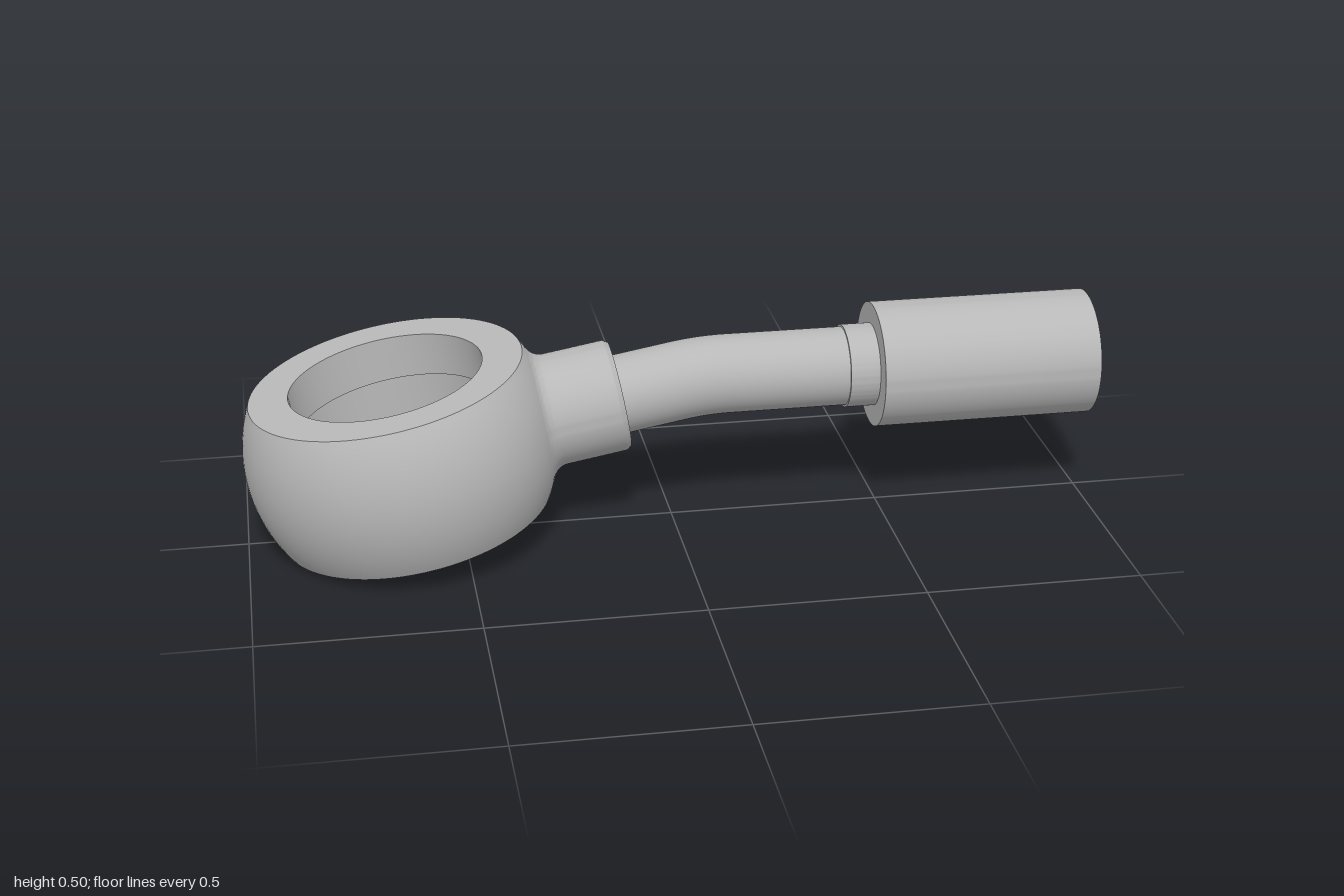
import * as THREE from 'three';
import { toCreasedNormals } from 'three/addons/utils/BufferGeometryUtils.js';

const TILT = THREE.MathUtils.degToRad(10);
const RING = new THREE.Vector3(-0.635, 0.228, 0); // centre of the eye
const AXIS_Y = 0.353;                             // height of the straight tube
const R = 0.365, HALF = 0.175, BORE = 0.227;      // eye: sphere radius, half height, bore

// Points along an arc, as [radius, height] pairs
function arc(cx, cy, r, from, to, n) {
  return Array.from({ length: n + 1 }, (_, i) => {
    const a = from + (to - from) * i / n;
    return [cx + r * Math.cos(a), cy + r * Math.sin(a)];
  });
}

export function createModel() {
  const group = new THREE.Group();
  const steel = new THREE.MeshStandardMaterial({ color: 0xb8b8b8 });
  steel.name = 'steel';

  function add(name, geometry) {
    const mesh = new THREE.Mesh(geometry, steel);
    mesh.name = name;
    group.add(mesh);
    return mesh;
  }
  // Turned part with crisp edges
  function turned(name, profile) {
    const points = profile.map(([r, y]) => new THREE.Vector2(r, y));
    return add(name, toCreasedNormals(new THREE.LatheGeometry(points, 96), Math.PI / 7));
  }

  // Eye: truncated sphere with a bore and a shallow inner groove
  const cut = Math.asin(HALF / R);
  const eye = turned('banjoEye', [
    ...arc(0, 0, R, -cut, cut, 24),
    [BORE, HALF], [BORE, 0.07], [0.24, 0.07],
    [0.24, -0.07], [BORE, -0.07], [BORE, -HALF],
    [R * Math.cos(cut), -HALF],
  ]);
  eye.position.copy(RING);
  eye.rotation.z = TILT;

  // Neck: fillet off the eye, then a socket with chamfered rim
  const neckR = 0.132, fillet = 0.04;
  const fr = neckR + fillet, fy = Math.sqrt((R + fillet) ** 2 - fr ** 2);
  const neck = turned('neck', [
    ...arc(fr, fy, fillet, Math.PI + Math.atan2(fy, fr), Math.PI, 10),
    [neckR, 0.508], [0.124, 0.52], [0.106, 0.52], [0.09, 0.502],
  ]);
  neck.position.copy(RING);
  neck.rotation.z = TILT - Math.PI / 2;

  // Tube: leaves the neck at a tilt and bends level
  const bend = new THREE.Vector3(RING.x + (AXIS_Y - RING.y) / Math.tan(TILT), AXIS_Y, 0);
  const along = new THREE.Vector3(Math.cos(TILT), Math.sin(TILT), 0);
  const start = RING.clone().addScaledVector(along, 0.47);
  const bendIn = bend.clone().addScaledVector(along, -0.06);
  const bendOut = bend.clone().setX(bend.x + 0.06);
  const path = new THREE.CurvePath();
  path.add(new THREE.LineCurve3(start, bendIn));
  path.add(new THREE.QuadraticBezierCurve3(bendIn, bend, bendOut));
  path.add(new THREE.LineCurve3(bendOut, new THREE.Vector3(0.42, AXIS_Y, 0)));
  add('bentTube', new THREE.TubeGeometry(path, 60, 0.093, 64));

  // Crimp sleeve: collar, shell, tapered socket and hollow inner nipple
  const sleeve = turned('crimpSleeve', [
    [0.09, 0.41], [0.098, 0.41], [0.098, 0.48], [0.148, 0.48],
    [0.148, 1], [0.13, 1], [0.112, 0.58], [0.06, 0.58],
    [0.06, 0.975], [0.055, 0.985], [0.036, 0.985], [0.036, 0.5], [0, 0.5],
  ]);
  sleeve.position.y = AXIS_Y;
  sleeve.rotation.z = -Math.PI / 2;

  return group;
}
